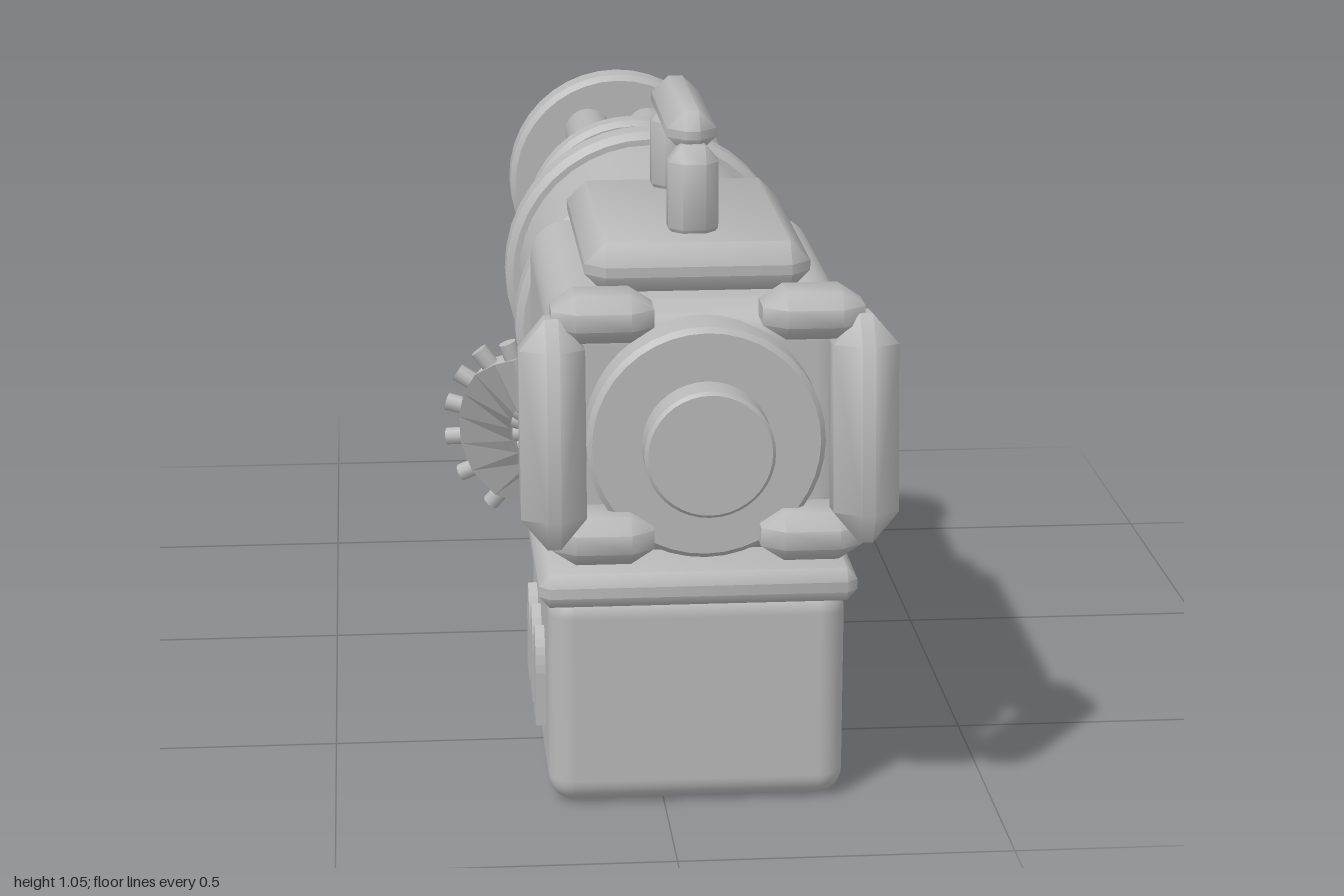
import * as THREE from 'three';
import { toCreasedNormals } from 'three/addons/utils/BufferGeometryUtils.js';
import { RoundedBoxGeometry } from 'three/addons/geometries/RoundedBoxGeometry.js';
import { ConvexGeometry } from 'three/addons/geometries/ConvexGeometry.js';

const CX = 0.05, CY = 0.605; // barrel axis

export function createModel() {
  const model = new THREE.Group();
  const grey = new THREE.MeshStandardMaterial({ color: 0xb8b8b8 });
  grey.name = 'light metal grey';

  function add(name, geometry, x = 0, y = 0, z = 0, parent = model) {
    const mesh = new THREE.Mesh(geometry, grey);
    mesh.name = name;
    mesh.position.set(x, y, z);
    parent.add(mesh);
    return mesh;
  }

  // Softly shaded box with all edges cut off by a separate amount per axis
  function bevelBox(w, h, d, cx, cy = cx, cz = cx) {
    const points = [];
    for (const sx of [-1, 1]) for (const sy of [-1, 1]) for (const sz of [-1, 1]) {
      const a = [w / 2, h / 2, d / 2], c = [cx, cy, cz], s = [sx, sy, sz];
      for (let k = 0; k < 3; k++) {
        points.push(new THREE.Vector3(...a.map((v, i) => s[i] * (i === k ? v : v - c[i]))));
      }
    }
    return toCreasedNormals(new ConvexGeometry(points), 0.9);
  }

  // Turned part along z; profile of [radius, z] from low z to high z
  function turned(profile, segments = 40) {
    const g = new THREE.LatheGeometry(profile.map(p => new THREE.Vector2(...p)), segments);
    g.rotateX(Math.PI / 2);
    return toCreasedNormals(g, 0.6);
  }
  function disc(r, z0, z1, b = 0.01, segments = 40) {
    return turned([[0, z0], [r - b, z0], [r, z0 + b], [r, z1 - b], [r - b, z1], [0, z1]], segments);
  }

  // Motor housing with its two collars
  add('housing', disc(0.225, -0.17, 0.22, 0.002), CX, CY);
  add('rearCollar', disc(0.247, 0.17, 0.24, 0.012), CX, CY);
  add('frontCollar', disc(0.247, -0.195, -0.125, 0.012), CX, CY);

  // Rotating barrel cluster
  const cluster = new THREE.Group();
  cluster.name = 'barrelCluster';
  cluster.position.set(CX, CY, 0);
  model.add(cluster);
  add('middleClamp', disc(0.192, -0.545, -0.487, 0.01), 0, 0, 0, cluster);
  add('frontClamp', disc(0.207, -0.915, -0.843, 0.01), 0, 0, 0, cluster);
  add('hub', disc(0.05, -1, -0.9, 0.003, 20), 0, 0, 0, cluster);
  const barrel = turned([[0, -0.945], [0.018, -0.945], [0.018, -0.98], [0.027, -0.98], [0.027, -0.965],
    [0.038, -0.965], [0.038, -0.915], [0.044, -0.9], [0.044, -0.18]], 20);
  for (let i = 0; i < 6; i++) {
    const a = i * Math.PI / 3;
    add('barrel', barrel, 0.115 * Math.cos(a), 0.115 * Math.sin(a), 0, cluster);
  }

  // Receiver and flat rear cap
  add('receiver', new RoundedBoxGeometry(0.45, 0.388, 0.605, 6, 0.058), CX, 0.603, 0.53);
  add('rearCap', disc(0.175, 0.75, 0.893, 0.008), CX, CY);
  add('rearButton', disc(0.095, 0.86, 0.95, 0.005), CX, CY);

  // Top plate and carrying handle
  add('topPlate', bevelBox(0.335, 0.075, 0.485, 0.03), CX, 0.832, 0.527);
  for (const z of [0.355, 0.655]) {
    add('carryPost', bevelBox(0.075, 0.15, 0.07, 0.02, 0.025, 0.02), CX, 0.925, z);
  }
  add('carryBar', bevelBox(0.075, 0.065, 0.335, 0.027, 0.026, 0.03), CX, 1.014, 0.502);

  // Pair of rear grips
  for (const s of [-1, 1]) {
    const grip = new THREE.Group();
    grip.name = 'rearGrip';
    grip.position.x = CX;
    model.add(grip);
    const bar = add('gripBar', bevelBox(0.095, 0.335, 0.112, 0.038, 0.045, 0.032), s * 0.226, 0.635, 0.916, grip);
    bar.rotation.x = -0.12;
    add('upperArm', bevelBox(0.148, 0.07, 0.105, 0.034, 0.022, 0.024), s * 0.152, 0.8, 0.882, grip);
    add('lowerArm', bevelBox(0.148, 0.072, 0.11, 0.034, 0.022, 0.024), s * 0.152, 0.469, 0.885, grip);
  }

  // Ammunition box, lid and latch
  add('ammoBox', new RoundedBoxGeometry(0.45, 0.34, 0.51, 5, 0.04), CX, 0.17, 0.53);
  add('ammoLid', bevelBox(0.48, 0.052, 0.535, 0.016, 0.018, 0.016), CX, 0.347, 0.532);
  add('latch', bevelBox(0.07, 0.085, 0.06, 0.018), CX, 0.25, 0.27);

  // Three bullet-shaped marks on the right side of the box
  const mark = new THREE.Shape();
  mark.moveTo(-0.034, 0.09);
  mark.lineTo(0.034, 0.09);
  mark.lineTo(0.034, 0.175);
  mark.quadraticCurveTo(0.03, 0.22, 0, 0.242);
  mark.quadraticCurveTo(-0.03, 0.22, -0.034, 0.175);
  const markGeometry = new THREE.ExtrudeGeometry(mark, { depth: 0.02, bevelEnabled: false, curveSegments: 6 });
  for (const z of [0.44, 0.54, 0.64]) {
    add('bulletMark', markGeometry, -0.17, 0, z).rotation.y = -Math.PI / 2;
  }

  // Ammunition belt: a twisting strip with cartridges lying across it
  const belt = new THREE.Group();
  belt.name = 'ammoBelt';
  model.add(belt);
  const path = new THREE.CatmullRomCurve3([
    [-0.185, 0.59, 0.49], [-0.225, 0.57, 0.43], [-0.247, 0.52, 0.38],
    [-0.247, 0.46, 0.35], [-0.225, 0.41, 0.335], [-0.18, 0.378, 0.32], [-0.09, 0.395, 0.31],
  ].map(p => new THREE.Vector3(...p)));
  function beltFrame(t) {
    const p = path.getPointAt(t), along = path.getTangentAt(t);
    const across = new THREE.Vector3(p.x + 0.14, p.y - 0.49, -0.03);
    across.addScaledVector(along, -across.dot(along)).normalize();
    return { p, along, across, normal: new THREE.Vector3().crossVectors(across, along) };
  }

  const rings = 10, position = [], index = [];
  for (let i = 0; i <= rings; i++) {
    const { p, across, normal } = beltFrame(i / rings);
    for (const [n, a] of [[1, 1], [-1, 1], [-1, -1], [1, -1]]) {
      position.push(...p.clone().addScaledVector(normal, n * 0.02).addScaledVector(across, a * 0.042));
    }
    for (let k = 0; k < 4 && i < rings; k++) {
      const a = i * 4 + k, b = i * 4 + (k + 1) % 4;
      index.push(a, b, a + 4, b, b + 4, a + 4);
    }
  }
  const e = rings * 4;
  index.push(0, 3, 2, 0, 2, 1, e, e + 1, e + 2, e, e + 2, e + 3);
  const indexed = new THREE.BufferGeometry();
  indexed.setAttribute('position', new THREE.Float32BufferAttribute(position, 3));
  indexed.setIndex(index);
  const strip = indexed.toNonIndexed();
  strip.computeVertexNormals();
  add('beltStrip', strip, 0, 0, 0, belt);

  const cartridge = new THREE.CylinderGeometry(0.014, 0.014, 0.135, 10);
  cartridge.rotateZ(Math.PI / 2);
  for (let i = 0; i < 9; i++) {
    const { p, along, across, normal } = beltFrame((i + 0.5) / 9);
    const mesh = add('cartridge', cartridge, p.x, p.y, p.z, belt);
    mesh.quaternion.setFromRotationMatrix(new THREE.Matrix4().makeBasis(across, along, normal));
  }

  return model;
}
